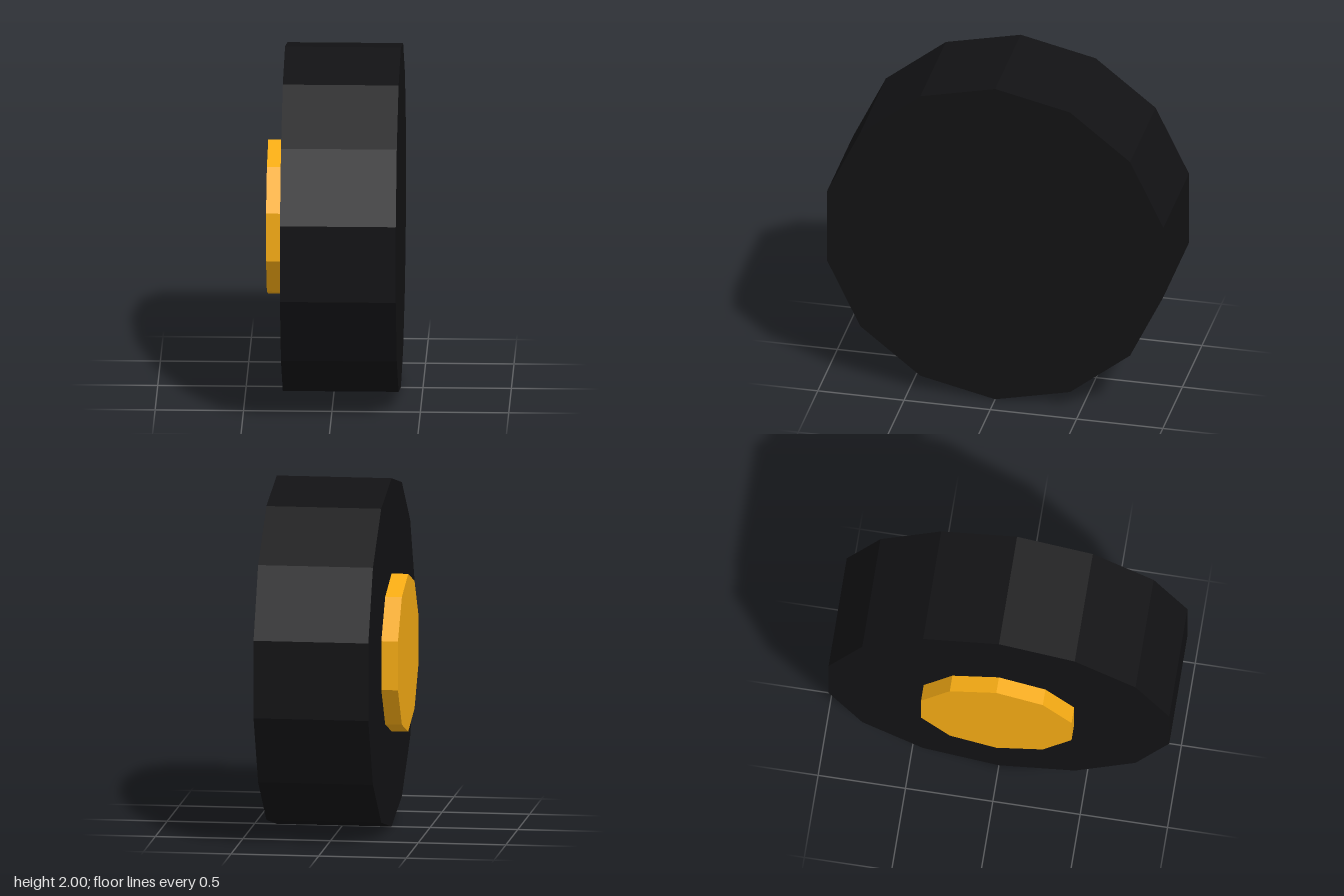
import * as THREE from 'three';

// Faceted disc lying along x from x0 to x1, with a corner pointing straight up
function disc(name, radius, sides, x0, x1, color) {
  const geometry = new THREE.CylinderGeometry(radius, radius, x1 - x0, sides, 1, false, Math.PI / 2);
  geometry.rotateZ(Math.PI / 2);
  const material = new THREE.MeshStandardMaterial({ color, flatShading: true });
  const mesh = new THREE.Mesh(geometry, material);
  mesh.name = name;
  mesh.position.set((x0 + x1) / 2, 1, 0);
  return mesh;
}

export function createModel() {
  const wheel = new THREE.Group();
  wheel.name = 'wheel';
  // Wide black tyre
  wheel.add(disc('tyre', 1, 14, -0.28, 0.375, 0x121214));
  // Yellow hub cap standing out on the outer side
  wheel.add(disc('hubCap', 0.453, 10, -0.375, -0.28, 0xf5ab14));
  return wheel;
}
